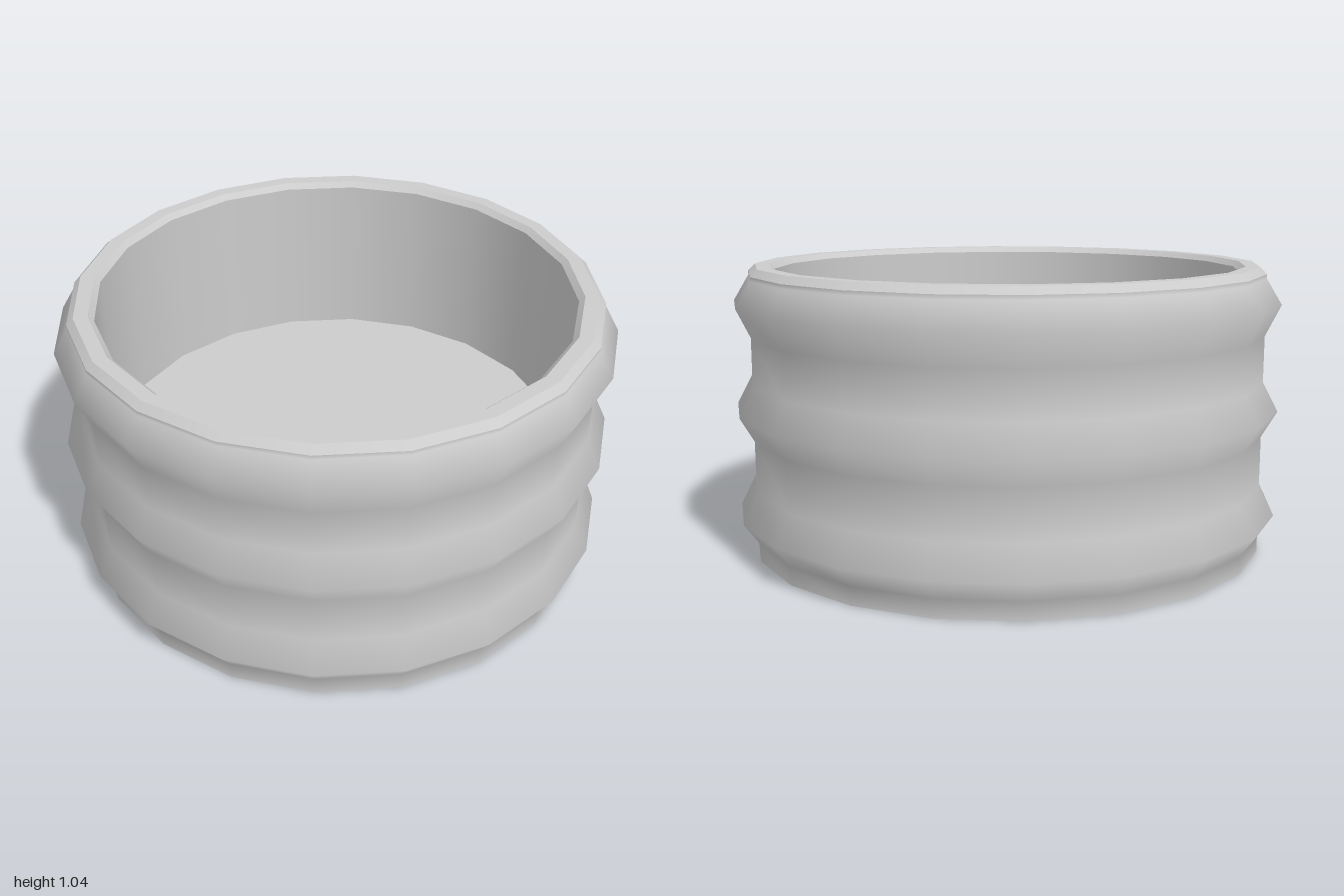
import * as THREE from 'three';

const SIDES = 20;
const material = new THREE.MeshStandardMaterial({ color: 0xcccccc });

// Revolves one smooth run of [radius, height] points; separate runs keep sharp edges between them
function ring(name, profile) {
  const points = profile.map(([r, y]) => new THREE.Vector2(r, y));
  const mesh = new THREE.Mesh(new THREE.LatheGeometry(points, SIDES), material);
  mesh.name = name;
  return mesh;
}

export function createModel() {
  const group = new THREE.Group();
  group.name = 'ribbedCap';
  const wall = 0.945, inner = 0.85, floorY = 0.39, shoulderY = 1.015, topY = 1.04;

  // Outer wall with three raised ribs: [lower foot, crest, upper foot]
  const ribs = [[0.065, 0.14, 0.25], [0.43, 0.525, 0.63], [0.795, 0.908, 1.0]];
  const outer = [[wall, 0]];
  for (const [low, crest, high] of ribs) outer.push([wall, low], [1, crest], [wall, high]);
  outer.push([wall, shoulderY]);

  group.add(
    ring('underside', [[0, 0], [wall, 0]]),
    ring('ribbedWall', outer),
    // Rim with a chamfer on each side
    ring('outerChamfer', [[wall, shoulderY], [0.92, topY]]),
    ring('rimTop', [[0.92, topY], [0.87, topY]]),
    ring('innerChamfer', [[0.87, topY], [inner, 1.02]]),
    // Recess
    ring('innerWall', [[inner, 1.02], [inner, floorY]]),
    ring('recessFloor', [[inner, floorY], [0, floorY]])
  );
  return group;
}
